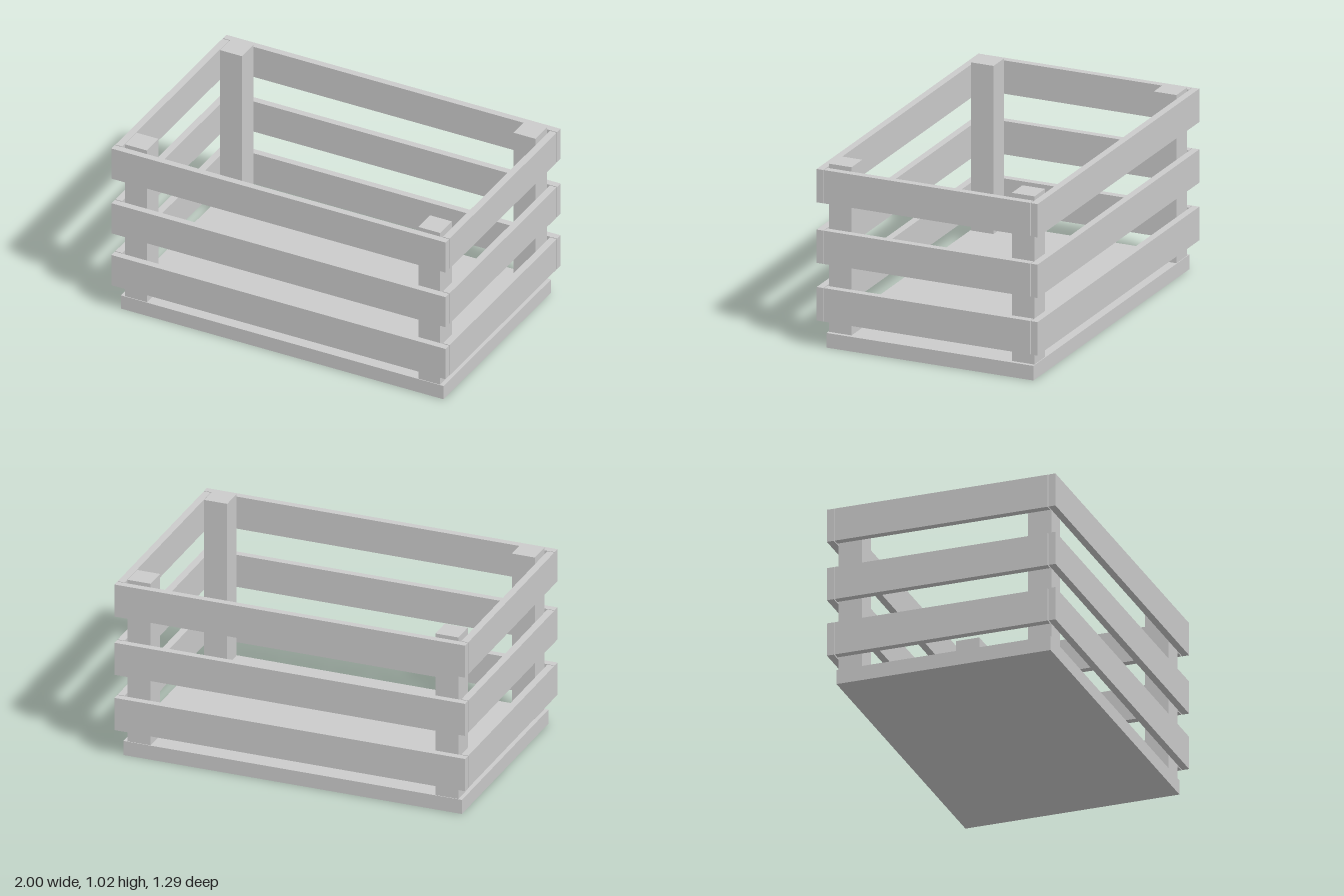
import * as THREE from 'three';

export function createModel() {
  const model = new THREE.Group();
  model.name = 'slattedCrate';
  const material = new THREE.MeshStandardMaterial({ color: 0xcccccc, flatShading: true });

  // Box given by its minimum and maximum on each axis
  function board(name, [x0, x1], [y0, y1], [z0, z1]) {
    const mesh = new THREE.Mesh(new THREE.BoxGeometry(x1 - x0, y1 - y0, z1 - z0), material);
    mesh.position.set((x0 + x1) / 2, (y0 + y1) / 2, (z0 + z1) / 2);
    mesh.name = name;
    model.add(mesh);
  }
  // Range mirrored to the chosen side of an axis
  const side = (s, a, b) => (s > 0 ? [a, b] : [-b, -a]);

  // Floor of the crate
  board('basePanel', [-0.965, 0.965], [0, 0.082], [-0.604, 0.604]);

  // Corner posts, rising just above the top slats
  for (const sx of [1, -1]) {
    for (const sz of [1, -1]) {
      const name = (sz > 0 ? 'front' : 'back') + (sx > 0 ? 'Left' : 'Right') + 'Post';
      board(name, side(sx, 0.812, 0.943), [0.082, 1.025], side(sz, 0.468, 0.6));
    }
  }

  // Three rows of slats on all four sides
  const rows = { lower: [0.157, 0.345], middle: [0.48, 0.667], upper: [0.82, 1.007] };
  for (const [row, height] of Object.entries(rows)) {
    for (const s of [1, -1]) {
      board(row + (s > 0 ? 'Front' : 'Back') + 'Slat', [-1, 1], height, side(s, 0.606, 0.645));
      board(row + (s > 0 ? 'Left' : 'Right') + 'Slat', side(s, 0.96, 1), height, [-0.601, 0.601]);
    }
  }

  return model;
}
